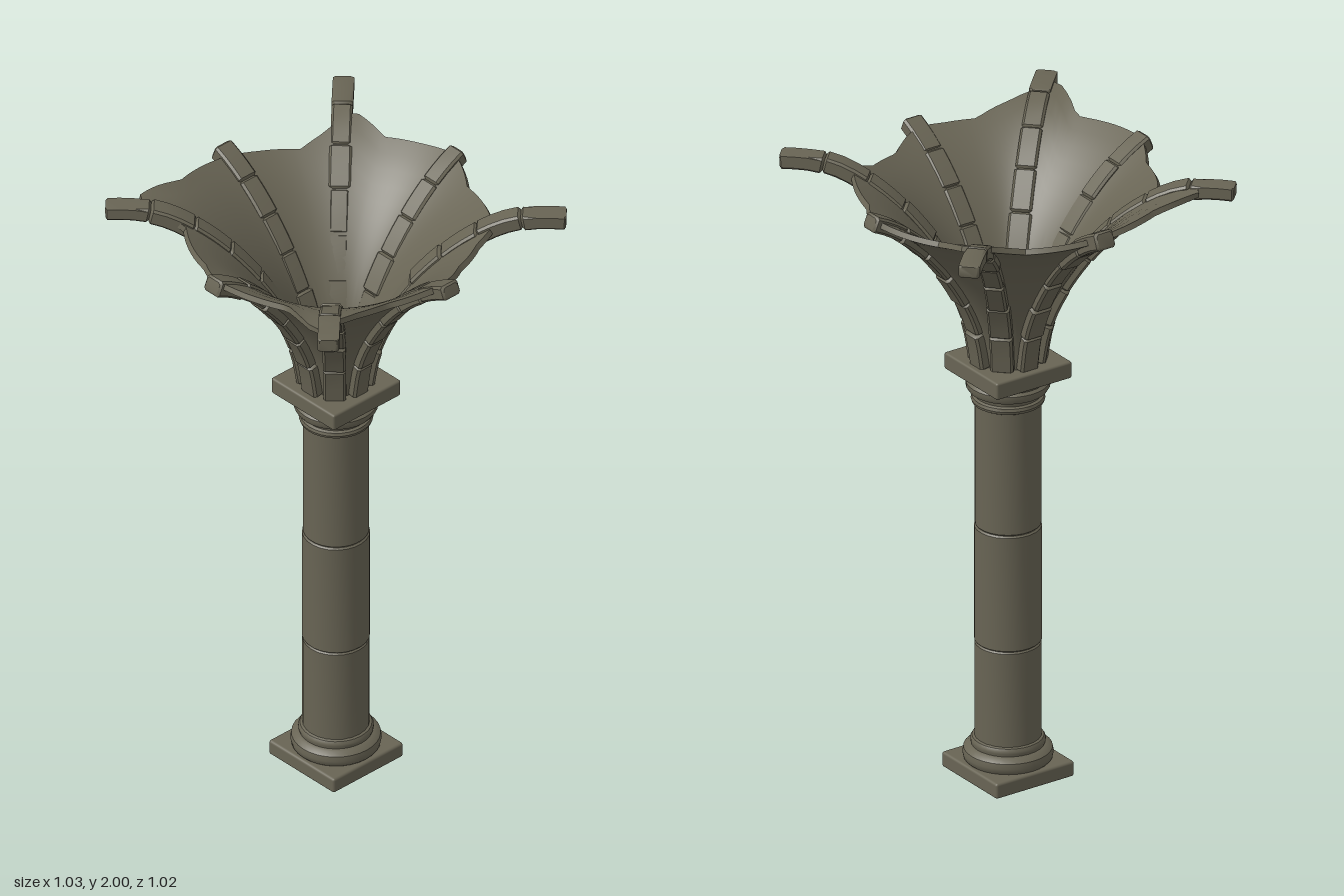
import * as THREE from 'three';
import { toCreasedNormals } from 'three/addons/utils/BufferGeometryUtils.js';
import { RoundedBoxGeometry } from 'three/addons/geometries/RoundedBoxGeometry.js';

const stone = new THREE.MeshStandardMaterial({ color: 0x686454 });
stone.name = 'weathered stone';

// Small seeded generator for the worn, uneven masonry
let seed = 7;
const rand = () => (seed = (seed * 16807) % 2147483647) / 2147483647;

// Underside of the vault as (radius, height)
const flare = new THREE.CatmullRomCurve3([
  [0.115, 1.37], [0.135, 1.48], [0.178, 1.59], [0.27, 1.735],
  [0.39, 1.86], [0.51, 1.935], [0.6, 1.957], [0.695, 1.957],
].map(([r, y]) => new THREE.Vector3(r, y, 0)));

// Point on the flare pushed inward by d
function flarePoint(u, d) {
  const p = flare.getPointAt(u), t = flare.getTangentAt(u);
  return [p.x - t.y * d, p.y + t.x * d];
}

// Position along the flare whose offset point has radius r
function flareAt(r, d) {
  let lo = 0, hi = 1;
  for (let i = 0; i < 24; i++) {
    const mid = (lo + hi) / 2;
    if (flarePoint(mid, d)[0] < r) lo = mid; else hi = mid;
  }
  return lo;
}

// Surface through equal closed cross-sections, with optional end caps
function loft(rings, capped) {
  const n = rings[0].length, index = [];
  for (let i = 0; i < rings.length - 1; i++) {
    for (let j = 0; j < n; j++) {
      const k = (j + 1) % n, a = i * n, b = a + n;
      index.push(a + j, a + k, b + k, a + j, b + k, b + j);
    }
  }
  if (capped) {
    const e = (rings.length - 1) * n;
    for (let j = 1; j < n - 1; j++) index.push(0, j + 1, j, e, e + j, e + j + 1);
  }
  const g = new THREE.BufferGeometry();
  g.setAttribute('position', new THREE.Float32BufferAttribute(rings.flat(2), 3));
  g.setIndex(index);
  return toCreasedNormals(g, 0.6);
}

// Rib of separate voussoirs, pinched at each joint
function ribGeometry(angle, reach) {
  const end = flareAt(reach, 0), blocks = reach > 0.6 ? 7 : 6, rings = [];
  const c = Math.cos(angle), s = Math.sin(angle);
  for (let b = 0; b < blocks; b++) {
    const half = 0.033 + (rand() - 0.5) * 0.005;
    const under = -0.004 + rand() * 0.007, top = 0.046 + rand() * 0.007;
    for (const [f, pinch] of [[0, 0.006], [0.05, 0], [0.35, 0], [0.65, 0], [0.95, 0], [0.995, 0.006]]) {
      const u = end * (b + f) / blocks, w = half - pinch;
      const lo = under + pinch, hi = top - pinch, ch = 0.007;
      const section = [[lo, -w + ch], [lo + ch, -w], [hi - ch, -w], [hi, -w + ch],
        [hi, w - ch], [hi - ch, w], [lo + ch, w], [lo, w - ch]].reverse();
      // counter-clockwise in (inward, sideways)
      rings.push(section.reverse().map(([d, side]) => {
        const [r, y] = flarePoint(u, d);
        return [c * r - s * side, Math.min(y, 2), s * r + c * side];
      }));
    }
  }
  return loft(rings, true);
}

// Broken rim of the vault as (x, z)
const RIM = [
  [0.465, 0], [0.45, 0.08], [0.42, 0.18], [0.42, 0.3], [0.415, 0.4], [0.42, 0.475],
  [0.32, 0.45], [0.24, 0.42], [0.21, 0.435], [0.11, 0.475], [0, 0.49], [-0.11, 0.43],
  [-0.29, 0.345], [-0.38, 0.38], [-0.455, 0.395], [-0.45, 0.22], [-0.465, 0],
  [-0.435, -0.09], [-0.37, -0.2], [-0.36, -0.28], [-0.345, -0.4], [-0.22, -0.405],
  [-0.11, -0.46], [0, -0.488], [0.13, -0.42], [0.29, -0.36], [0.345, -0.325],
  [0.36, -0.24], [0.4, -0.13], [0.445, -0.06],
].map(([x, z]) => [(Math.atan2(z, x) + Math.PI * 2) % (Math.PI * 2), Math.hypot(x, z)])
  .sort((a, b) => a[0] - b[0]);
RIM.push([Math.PI * 2, RIM[0][1]]);

function rimRadius(a) {
  const i = Math.max(1, RIM.findIndex(p => p[0] >= a));
  const [a0, r0] = RIM[i - 1], [a1, r1] = RIM[i];
  return r0 + (r1 - r0) * (a - a0) / (a1 - a0);
}

// Thin vault web, swept around the axis up to the broken rim
function vaultGeometry() {
  const rings = [], around = 128, steps = 14;
  for (let i = 0; i <= around; i++) {
    const a = i === around ? 0 : (i / around) * Math.PI * 2;
    const end = flareAt(rimRadius(a), 0.035), ring = [];
    const wave = 0.003 * Math.sin(a * 5 + 1);
    const add = (u, d) => {
      const [r, y] = flarePoint(u, d);
      ring.push([Math.cos(a) * r, Math.min(y, 1.995), Math.sin(a) * r]);
    };
    for (let k = 0; k <= steps; k++) add(end * k / steps, 0.022 + wave);
    for (let k = steps; k >= 0; k--) add(end * k / steps, 0.046 + wave - 0.006 * k / steps);
    rings.push(ring);
  }
  return loft(rings, false);
}

function turned(points, segments = 32) {
  const lathe = new THREE.LatheGeometry(points.map(([r, y]) => new THREE.Vector2(r, y)), segments);
  return toCreasedNormals(lathe, 0.6);
}

export function createModel() {
  const model = new THREE.Group();
  const add = (name, geometry, y = 0) => {
    const mesh = new THREE.Mesh(geometry, stone);
    mesh.name = name;
    mesh.position.y = y;
    model.add(mesh);
    return mesh;
  };

  // Square plinth and moulded base
  add('plinth', new RoundedBoxGeometry(0.286, 0.05, 0.286, 2, 0.008), 0.025);
  add('baseMoulding', turned([
    [0.125, 0.045], [0.134, 0.055], [0.137, 0.07], [0.134, 0.086], [0.122, 0.097],
    [0.111, 0.1], [0.113, 0.108], [0.113, 0.116], [0.108, 0.124], [0.098, 0.128],
  ]));

  // Shaft of three drums with narrow joints
  const joints = [0.11, 0.44, 0.825, 1.24];
  for (let i = 0; i < 3; i++) {
    const lo = joints[i], hi = joints[i + 1], r = [0.101, 0.102, 0.1][i];
    add('shaftDrum' + (i + 1), turned([
      [0, lo], [r - 0.005, lo], [r, lo + 0.005], [r, hi - 0.005], [r - 0.005, hi], [0, hi],
    ], 24)).rotation.y = i * 0.08;
  }

  // Capital rings and square abacus
  add('capitalMoulding', turned([
    [0.098, 1.228], [0.109, 1.234], [0.112, 1.243], [0.109, 1.252], [0.101, 1.256],
    [0.104, 1.268], [0.12, 1.274], [0.127, 1.286], [0.127, 1.3], [0.119, 1.308],
    [0.124, 1.316], [0.132, 1.325],
  ]));
  add('abacus', new RoundedBoxGeometry(0.276, 0.055, 0.276, 2, 0.007), 1.3475);

  // Flared vault with eight ribs, the diagonal ones longer
  add('vaultWeb', vaultGeometry());
  for (let i = 0; i < 8; i++) {
    const diagonal = i % 2 === 1;
    add(diagonal ? 'diagonalRib' : 'straightRib', ribGeometry(i * Math.PI / 4, diagonal ? 0.69 : 0.515));
  }
  return model;
}
